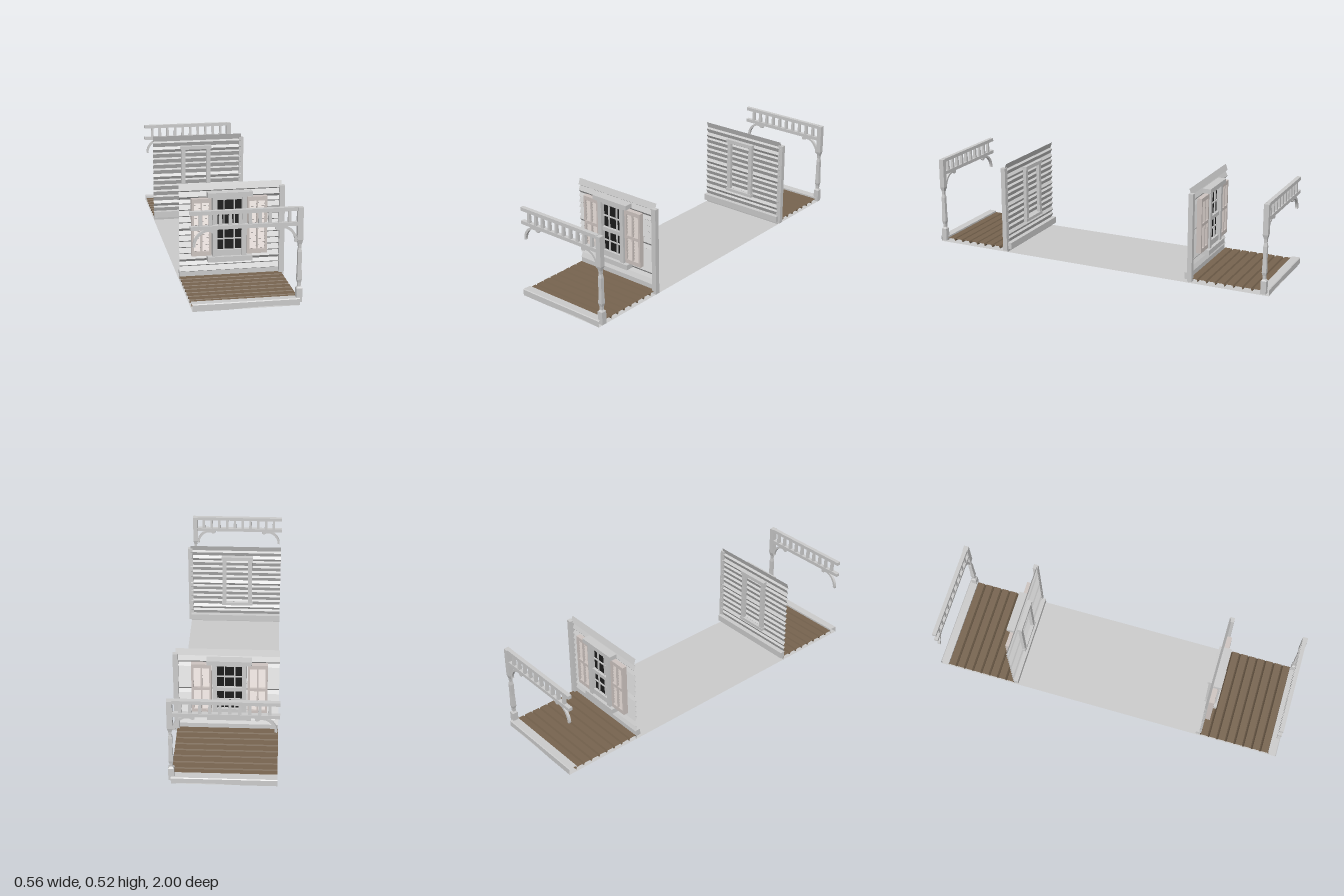
import * as THREE from 'three';

const X0 = -0.273, X1 = 0.263;
const mat = (color, side = THREE.FrontSide) =>
  new THREE.MeshStandardMaterial({ color, side, flatShading: true });
const grey = mat(0xcccccc);
const greySheet = mat(0xcccccc, THREE.DoubleSide);
const shutterMat = mat(0xcec5c1);
const glassMat = mat(0x1c1c1c);
const deckMat = mat(0x77644f, THREE.DoubleSide);

function add(parent, name, geo, material = grey) {
  const m = new THREE.Mesh(geo, material);
  m.name = name;
  parent.add(m);
  return m;
}

// Box given by its limits on each axis
function box(parent, name, x0, x1, y0, y1, z0, z1, material = grey) {
  const g = new THREE.BoxGeometry(x1 - x0, y1 - y0, z1 - z0);
  g.translate((x0 + x1) / 2, (y0 + y1) / 2, (z0 + z1) / 2);
  return add(parent, name, g, material);
}

// Open sheet: a [z, y] profile swept along x
function sheet(parent, name, profile, material, segs = 1) {
  const g = new THREE.PlaneGeometry(1, 1, segs, profile.length - 1);
  const p = g.attributes.position;
  for (let i = 0; i < p.count; i++) {
    const t = (i % (segs + 1)) / segs;
    const [z, y] = profile[Math.floor(i / (segs + 1))];
    p.setXYZ(i, X0 + (X1 - X0) * t, y, z);
  }
  g.computeVertexNormals();
  return add(parent, name, g, material);
}

function clapboardWall(parent) {
  const back = 0.549, lip = 0.561, pitch = 0.0333;
  const profile = [[0.555, 0]];
  for (let k = 0; k < 14; k++) {
    const y = 0.0535 + k * pitch;
    const drop = k % 5 === 2 ? 0.015 : 0.008; // every fifth lap is deeper
    profile.push([back, y - drop], [lip, y]);
  }
  profile.push([back, 0.52]);
  sheet(parent, 'clapboardSiding', profile.reverse(), greySheet);
  box(parent, 'cornerBoard', 0.25, 0.277, 0.012, 0.497, 0.55, 0.576);
  box(parent, 'innerBaseboard', X0, X1, 0.02, 0.057, 0.53, 0.556);
}

function windowUnit(parent) {
  const w = new THREE.Group();
  w.name = 'window';
  parent.add(w);
  box(w, 'glass', -0.082, 0.052, 0.16, 0.445, 0.562, 0.572, glassMat);
  box(w, 'sill', -0.13, 0.102, 0.11, 0.138, 0.56, 0.606);
  box(w, 'header', -0.13, 0.102, 0.455, 0.48, 0.56, 0.606);
  for (const [a, b] of [[-0.104, -0.08], [0.049, 0.073]]) {
    box(w, 'casing', a, b, 0.138, 0.455, 0.56, 0.598);
    box(w, 'innerCasing', a, b, 0.13, 0.455, 0.533, 0.552);
  }
  box(w, 'innerHeader', -0.108, 0.077, 0.437, 0.458, 0.527, 0.552);
  box(w, 'innerSill', -0.108, 0.077, 0.128, 0.145, 0.53, 0.552);
  // Sash rails and glazing bars
  for (const [a, b] of [[0.138, 0.17], [0.284, 0.306], [0.438, 0.455]])
    box(w, 'sashRail', -0.08, 0.049, a, b, 0.564, 0.588);
  for (const x of [-0.0425, 0.011])
    box(w, 'uprightBar', x - 0.003, x + 0.003, 0.165, 0.44, 0.566, 0.58);
  for (const y of [0.227, 0.369])
    box(w, 'crossBar', -0.08, 0.049, y - 0.003, y + 0.003, 0.566, 0.579);
}

function shutter(parent, x0, x1) {
  const s = new THREE.Group();
  s.name = 'shutter';
  parent.add(s);
  const part = (n, ...r) => box(s, n, ...r, 0.562, 0.589, shutterMat);
  const mid = (x0 + x1) / 2;
  part('stile', x0, x0 + 0.012, 0.143, 0.448);
  part('stile', x1 - 0.012, x1, 0.143, 0.448);
  part('centreRod', mid - 0.004, mid + 0.004, 0.16, 0.43);
  for (const [a, b] of [[0.143, 0.166], [0.289, 0.306], [0.426, 0.448]])
    part('rail', x0 + 0.012, x1 - 0.012, a, b);
  // Tilted louvres in the two panels
  for (const [a, n] of [[0.166, 7], [0.306, 7]])
    for (let i = 0; i < n; i++) {
      const g = new THREE.BoxGeometry(x1 - x0 - 0.02, 0.016, 0.003);
      g.rotateX(-0.5);
      g.translate(mid, a + (i + 0.5) * 0.0174, 0.577);
      add(s, 'louvre', g, shutterMat);
    }
}

function deck(parent) {
  // Boards with V grooves between them
  const profile = [];
  const n = 8, z0 = 0.555, pitch = (0.958 - z0) / n, y = 0.027;
  for (let i = 0; i < n; i++) {
    const z = z0 + i * pitch;
    profile.push([z, y - 0.014], [z + 0.006, y], [z + pitch - 0.006, y]);
  }
  profile.push([0.958, y - 0.014]);
  sheet(parent, 'deckBoards', profile, deckMat);
  // Edge beam, its lower edge worn upward toward one side
  const beam = sheet(parent, 'deckEdge',
    [[0.953, 0.015], [0.953, 0.036], [0.996, 0.037], [1, 0.033], [1, 0]], greySheet, 12);
  const p = beam.geometry.attributes.position;
  for (let i = 0; i < p.count; i++) {
    const x = p.getX(i);
    const wave = Math.max(0, Math.sin(((x + 0.08) / 0.36) * Math.PI));
    if (p.getY(i) === 0 && x > -0.08) p.setY(i, 0.007 * wave);
  }
  beam.geometry.computeVertexNormals();
}

function post(parent) {
  const g = new THREE.Group();
  g.name = 'porchPost';
  g.position.set(0.261, 0, 0.972);
  parent.add(g);
  box(g, 'postBase', -0.015, 0.015, 0.012, 0.083, -0.015, 0.015);
  box(g, 'postTop', -0.014, 0.014, 0.333, 0.497, -0.014, 0.014);
  const turned = [[0.02, 0.083], [0.011, 0.092], [0.012, 0.112], [0.017, 0.128], [0.0165, 0.14],
    [0.014, 0.2], [0.0145, 0.27], [0.01, 0.29], [0.012, 0.31], [0.02, 0.333]];
  const lathe = new THREE.LatheGeometry(turned.map(([r, y]) => new THREE.Vector2(r, y)), 4);
  lathe.rotateY(Math.PI / 4);
  add(g, 'postShaft', lathe);
}

function frieze(parent) {
  const g = new THREE.Group();
  g.name = 'frieze';
  parent.add(g);
  box(g, 'topRail', -0.278, 0.25, 0.48, 0.499, 0.96, 0.982);
  box(g, 'bottomRail', -0.278, 0.25, 0.405, 0.424, 0.96, 0.982);
  // Spindles, a little wider at the foot
  for (let i = 0; i < 10; i++) {
    const s = new THREE.CylinderGeometry(0.0095, 0.012, 0.058, 4);
    s.rotateY(Math.PI / 4);
    s.translate(-0.2275 + i * 0.0485, 0.452, 0.971);
    add(g, 'spindle', s);
  }
  // Curved brackets, mirrored about the middle of the bay
  for (const side of [1, -1]) {
    const v = ([x, y]) => new THREE.Vector2(side > 0 ? x : -0.017 - x, y);
    const shape = new THREE.Shape();
    shape.moveTo(...v([-0.264, 0.319]).toArray());
    shape.splineThru([[-0.266, 0.332], [-0.258, 0.36], [-0.238, 0.387], [-0.212, 0.403], [-0.19, 0.406]].map(v));
    shape.lineTo(...v([-0.158, 0.406]).toArray());
    shape.splineThru([[-0.155, 0.393], [-0.163, 0.386], [-0.174, 0.388], [-0.182, 0.394],
      [-0.205, 0.393], [-0.228, 0.379], [-0.246, 0.355], [-0.253, 0.333], [-0.252, 0.322]].map(v));
    shape.closePath();
    const b = new THREE.ExtrudeGeometry(shape, { depth: 0.014, bevelEnabled: false, curveSegments: 3 });
    b.translate(0, 0, 0.964);
    add(g, 'bracket', b);
  }
}

function porchEnd() {
  const end = new THREE.Group();
  end.name = 'porchEnd';
  clapboardWall(end);
  windowUnit(end);
  shutter(end, -0.213, -0.11);
  shutter(end, 0.077, 0.182);
  deck(end);
  post(end);
  frieze(end);
  return end;
}

export function createModel() {
  const model = new THREE.Group();
  model.name = 'porchHouseSection';
  sheet(model, 'floor', [[-1, 0.001], [1, 0.001]], greySheet);
  // Two facing ends, the far one mirrored in z
  const front = porchEnd();
  const back = porchEnd();
  back.scale.z = -1;
  model.add(front, back);
  return model;
}
